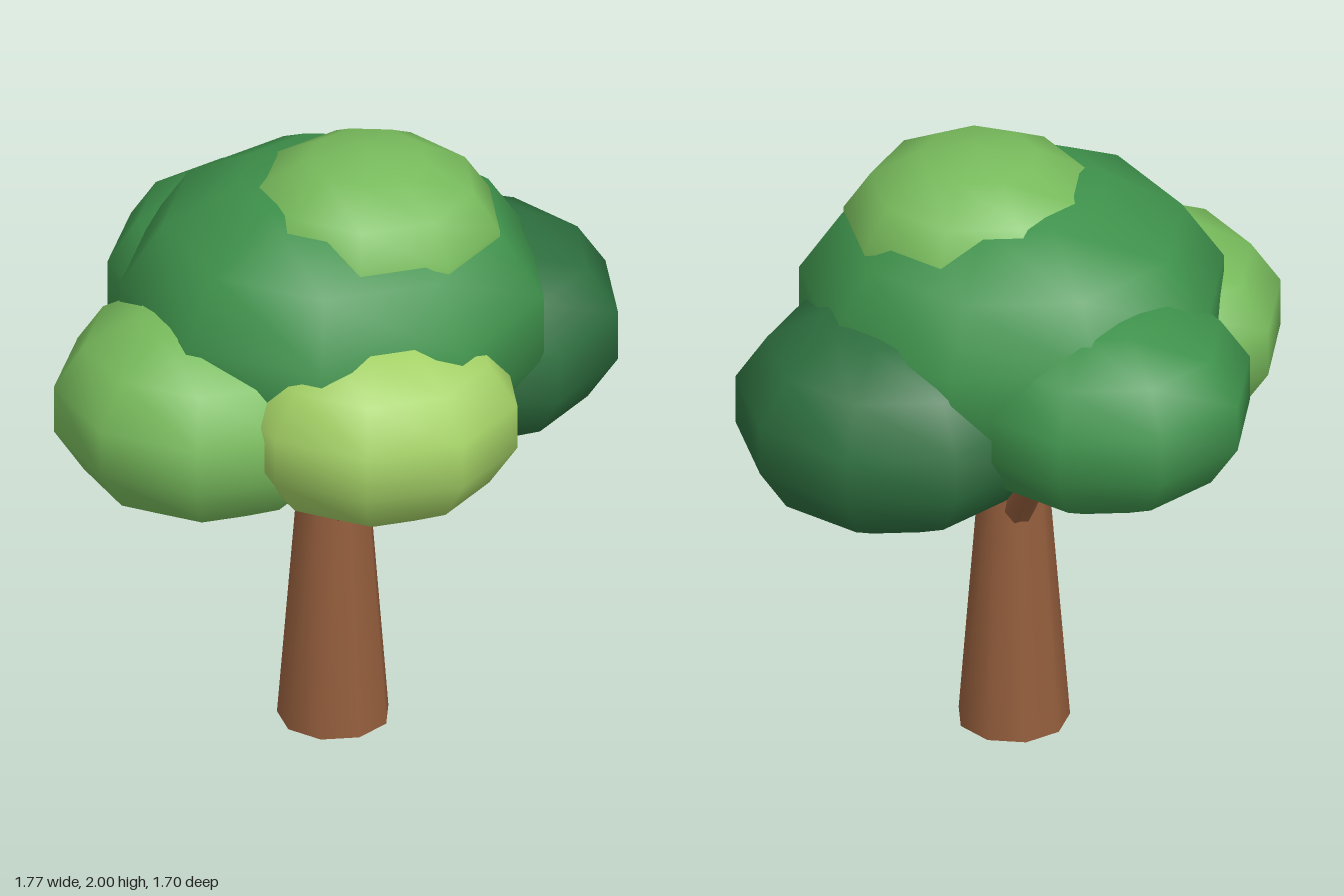
import * as THREE from 'three';

const mat = (name, color) => {
  const m = new THREE.MeshStandardMaterial({ color });
  m.name = name;
  return m;
};

export function createModel() {
  const tree = new THREE.Group();
  tree.name = 'tree';
  const bark = mat('bark brown', 0x935d3c);
  const midGreen = mat('mid green', 0x3e914b);
  const darkGreen = mat('dark green', 0x2d6e3e);
  const lightGreen = mat('light green', 0x78bb5c);
  const limeGreen = mat('lime green', 0xa3d065);

  const add = (name, geometry, material) => {
    const mesh = new THREE.Mesh(geometry, material);
    mesh.name = name;
    tree.add(mesh);
    return mesh;
  };

  // Tapered trunk
  const trunk = add('trunk', new THREE.CylinderGeometry(0.093, 0.175, 1.05, 9), bark);
  trunk.position.y = 0.525;
  trunk.rotation.y = Math.PI;

  // Four branches rising outward
  const up = new THREE.Vector3(0, 1, 0);
  const names = ['leftBranch', 'frontBranch', 'rightBranch', 'backBranch'];
  names.forEach((name, i) => {
    const a = (i * Math.PI) / 2;
    const at = (r, y) => new THREE.Vector3(r * Math.cos(a), y, r * Math.sin(a));
    const from = at(0.03, 0.725);
    const to = at(0.33, 1.04);
    const branch = add(name, new THREE.CylinderGeometry(0.04, 0.053, from.distanceTo(to), 7), bark);
    branch.position.copy(from).lerp(to, 0.5);
    branch.quaternion.setFromUnitVectors(up, to.clone().sub(from).normalize());
  });

  // Flattened leaf clumps: name, material, radius, centre
  const clumps = [
    ['mainFoliage', midGreen, 0.68, 0, 1.435, -0.005],
    ['leftFoliage', darkGreen, 0.5, 0.425, 1.25, -0.197],
    ['rightFoliage', lightGreen, 0.482, -0.42, 1.235, 0.2],
    ['frontFoliage', limeGreen, 0.46, 0.08, 1.28, 0.405],
    ['backFoliage', midGreen, 0.475, -0.19, 1.33, -0.4],
    ['topFoliage', lightGreen, 0.428, 0.1, 1.692, 0.04],
  ];
  for (const [name, material, r, x, y, z] of clumps) {
    const clump = add(name, new THREE.SphereGeometry(r, 9, 7), material);
    clump.scale.y = 0.72;
    clump.position.set(x, y, z);
  }
  return tree;
}
